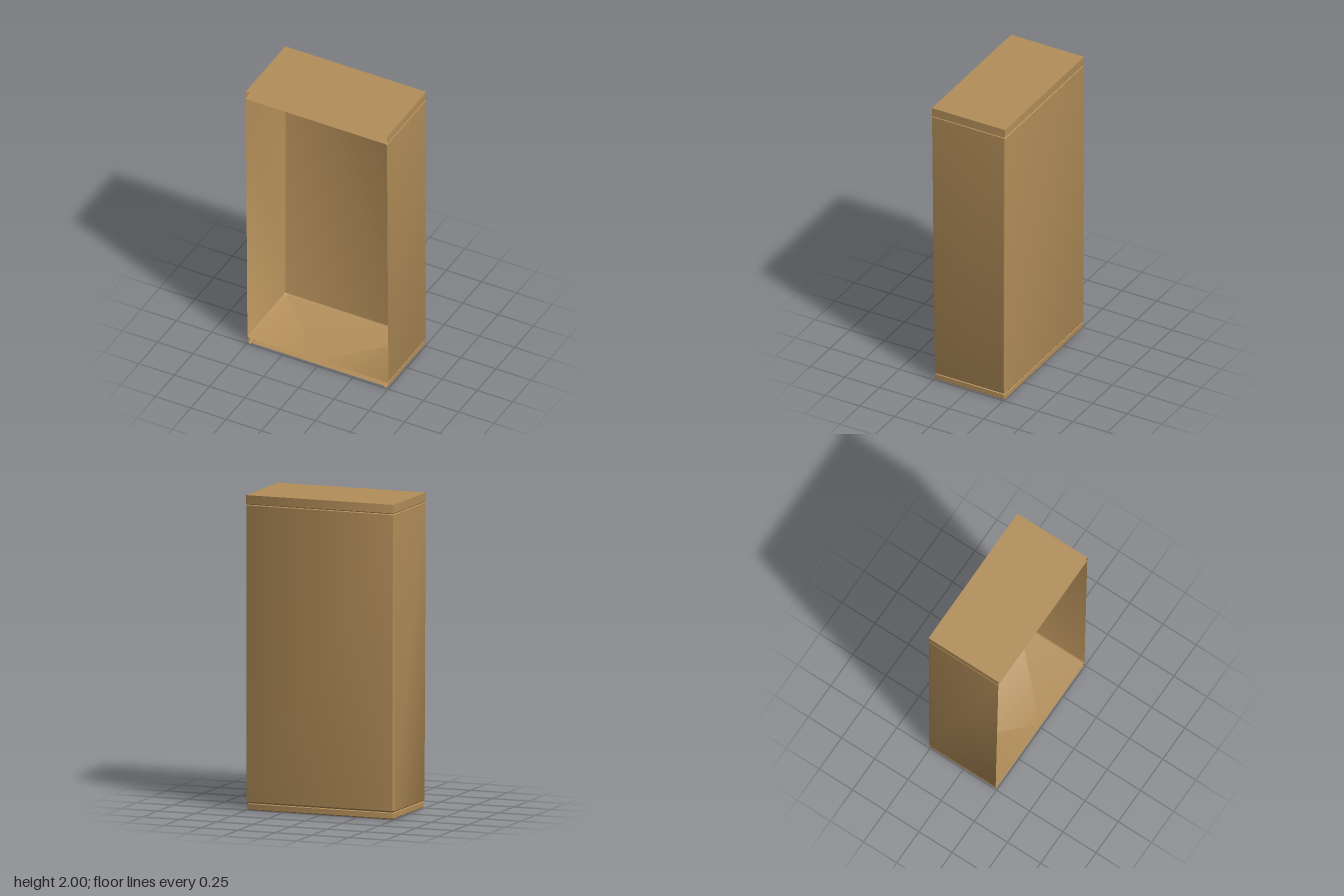
import * as THREE from 'three';
import { toCreasedNormals } from 'three/addons/utils/BufferGeometryUtils.js';

const material = new THREE.MeshStandardMaterial({ color: 0xb38e59, side: THREE.DoubleSide });
const BACK = -0.262;

// The open front leans slightly outwards towards the top
const frontZ = (y) => 0.243 + 0.011 * y;

// Left wall, rounded back corners and right wall, drawn in by inset
function section(y, inset, radius) {
  const x = 0.5 - inset, back = BACK + inset, steps = 4;
  const points = [[x, y, frontZ(y)]];
  for (const side of [1, -1]) {
    for (let i = 0; i <= steps; i++) {
      const a = ((side > 0 ? i : steps - i) / steps) * Math.PI / 2;
      points.push([
        side * (x - radius + radius * Math.cos(a)), y,
        back + radius - radius * Math.sin(a),
      ]);
    }
  }
  points.push([-x, y, frontZ(y)]);
  return points;
}

// Thin sheet lofted through [y, inset] levels, with optional end panels
function shell(name, levels, radius, closeBottom, closeTop) {
  const rows = levels.map(([y, inset]) => section(y, inset, radius));
  const position = [];
  const tri = (...corners) => corners.forEach((p) => position.push(...p));
  for (let r = 0; r + 1 < rows.length; r++) {
    const low = rows[r], high = rows[r + 1];
    for (let i = 0; i + 1 < low.length; i++) {
      tri(low[i], low[i + 1], high[i + 1]);
      tri(low[i], high[i + 1], high[i]);
    }
  }
  const panel = (row, up) => {
    const centre = [0, row[0][1], row[0][2]];
    for (let i = 0; i + 1 < row.length; i++) {
      if (up) tri(centre, row[i], row[i + 1]);
      else tri(centre, row[i + 1], row[i]);
    }
  };
  if (closeBottom) panel(rows[0], false);
  if (closeTop) panel(rows[rows.length - 1], true);

  const geometry = new THREE.BufferGeometry();
  geometry.setAttribute('position', new THREE.Float32BufferAttribute(position, 3));
  const mesh = new THREE.Mesh(toCreasedNormals(geometry, 0.6), material);
  mesh.name = name;
  return mesh;
}

export function createModel() {
  const group = new THREE.Group();
  group.name = 'openCabinet';
  group.add(
    // Base tray with a rounded rim around a slightly raised underside
    shell('base', [
      [0.01, 0.032], [0.003, 0.028], [0, 0.022], [0.002, 0.012], [0.008, 0.006],
      [0.04, 0.006], [0.045, 0.012],
    ], 0.008, true, false),
    // Main case with floor, side walls, back and ceiling
    shell('case', [
      [0.045, 0.012], [0.05, 0.004], [0.056, 0], [1.935, 0], [1.94, 0.005],
    ], 0.01, true, true),
    // Square-edged cap, open at the front like the case
    shell('topCap', [[1.94, 0.005], [1.945, 0], [2, 0]], 0.002, false, true),
  );
  return group;
}
